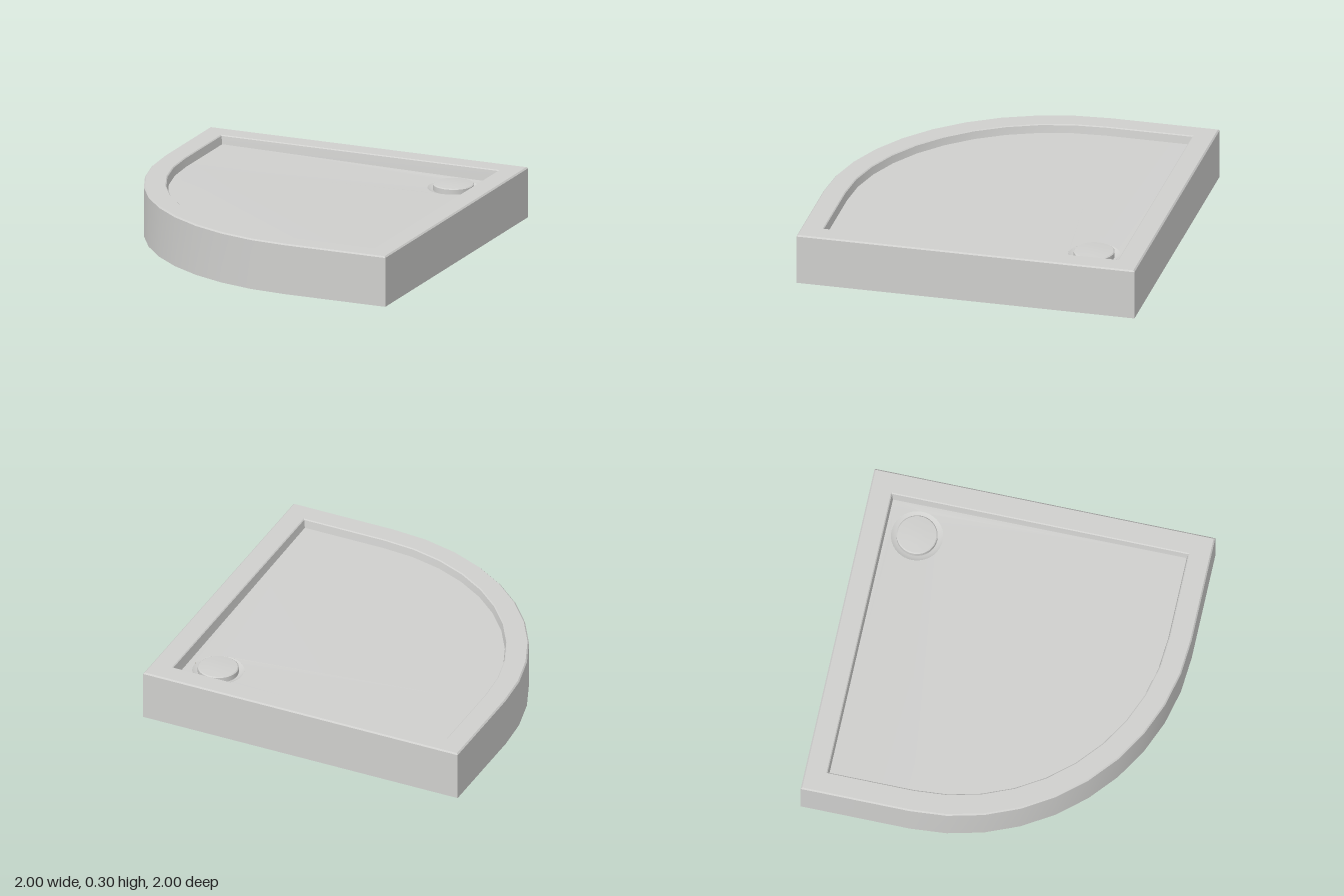
import * as THREE from 'three';
import { toCreasedNormals } from 'three/addons/utils/BufferGeometryUtils.js';

const DRAIN = { x: 0.675, z: -0.68 };
const ARC = 0.36; // centre of the rounded corner is (ARC, -ARC)

// Quadrant outline as [x, z] points, anticlockwise from above, moved inwards by inset
function outline(inset) {
  const e = 1 - inset, r = 1 + ARC - inset, pts = [[e, -e], [-e, -e]];
  for (let i = 0; i <= 10; i++) {
    const a = (i / 10) * Math.PI / 2;
    pts.push([ARC - r * Math.cos(a), -ARC + r * Math.sin(a)]);
  }
  pts.push([e, e]);
  return pts;
}

// Floor falls gently towards the drain
const floorY = (x, z) => 0.222 + 0.017 * Math.hypot(x - DRAIN.x, z - DRAIN.z);

// Skin over a list of [inset, height] rings; height may be a function of x and z
function loft(rings) {
  const pos = [], idx = [];
  let n = 0;
  rings.forEach(([inset, y]) => {
    const pts = outline(inset);
    n = pts.length;
    pts.forEach(([x, z]) => pos.push(x, typeof y === 'function' ? y(x, z) : y, z));
  });
  for (let k = 0; k < rings.length - 1; k++) {
    for (let i = 0; i < n; i++) {
      const j = (i + 1) % n, a = k * n + i, b = k * n + j;
      idx.push(a, b, b + n, a, b + n, a + n);
    }
  }
  const g = new THREE.BufferGeometry();
  g.setAttribute('position', new THREE.Float32BufferAttribute(pos, 3));
  g.setIndex(idx);
  return toCreasedNormals(g, 0.4);
}

const toShape = (pts) => new THREE.Shape(pts.map(([x, z]) => new THREE.Vector2(x, -z)));

export function createModel() {
  const grey = new THREE.MeshStandardMaterial({ color: 0xcfcfcd });
  grey.name = 'light grey';
  const beige = new THREE.MeshStandardMaterial({ color: 0xd0c6a8 });
  beige.name = 'beige';
  const black = new THREE.MeshStandardMaterial({ color: 0x2c2c2c });
  black.name = 'black';

  const group = new THREE.Group();
  group.name = 'showerTray';
  const add = (name, geometry, material) => {
    const mesh = new THREE.Mesh(geometry, material);
    mesh.name = name;
    group.add(mesh);
    return mesh;
  };

  // Skirt, top rim and basin wall in one skin
  add('skirtAndRim', loft([
    [0.03, 0], [0, 0], [0, 0.292], [0.008, 0.3], [0.124, 0.3], [0.13, 0.295], [0.138, floorY],
  ]), grey);

  // Sloping basin floor with a round opening for the drain
  const floorShape = toShape(outline(0.138));
  floorShape.holes.push(new THREE.Path().absarc(DRAIN.x, -DRAIN.z, 0.15, 0, Math.PI * 2, true));
  const floor = new THREE.ShapeGeometry(floorShape, 32).rotateX(-Math.PI / 2);
  const p = floor.attributes.position;
  for (let i = 0; i < p.count; i++) p.setY(i, floorY(p.getX(i), p.getZ(i)));
  floor.computeVertexNormals();
  add('basinFloor', floor, grey);

  // Dish around the drain and its domed cover
  const lathe = (pts) => toCreasedNormals(
    new THREE.LatheGeometry(pts.map(([r, y]) => new THREE.Vector2(r, y)), 40), 0.5);
  const dish = add('drainDish', lathe([[0.15, floorY(DRAIN.x + 0.15, DRAIN.z)], [0.13, 0.214], [0.1, 0.21]]), grey);
  const cover = add('drainCover', lathe([[0.118, 0.205], [0.118, 0.244], [0.112, 0.249], [0.06, 0.253], [0, 0.254]]), grey);
  for (const m of [dish, cover]) m.position.set(DRAIN.x, 0, DRAIN.z);

  // Inside of the skirt and underside of the shell
  const ceilingY = 0.14;
  add('skirtInside', loft([[0.03, ceilingY], [0.03, 0]]), beige);
  const ceiling = add('shellUnderside', new THREE.ShapeGeometry(
    new THREE.Shape(outline(0.03).map(([x, z]) => new THREE.Vector2(x, z)))).rotateX(Math.PI / 2), beige);
  ceiling.position.y = ceilingY;

  // Support block, notched by a circle around the drain
  const inset = 0.12, e = 1 - inset, R = 0.35;
  const dx = Math.sqrt(R * R - (e + DRAIN.z) ** 2), dz = Math.sqrt(R * R - (e - DRAIN.x) ** 2);
  const block = outline(inset).slice(1);
  const a0 = Math.atan2(dz, e - DRAIN.x);
  const a1 = Math.atan2(-e - DRAIN.z, -dx) + Math.PI * 2;
  for (let i = 0; i <= 20; i++) {
    const a = a0 + (a1 - a0) * i / 20;
    block.push([DRAIN.x + R * Math.cos(a), DRAIN.z + R * Math.sin(a)]);
  }
  const blockGeometry = new THREE.ExtrudeGeometry(toShape(block), { depth: ceilingY, bevelEnabled: false })
    .rotateX(-Math.PI / 2);
  add('supportBlock', toCreasedNormals(blockGeometry, 0.4), grey);

  // Waste outlet seen from underneath
  const outlet = add('wasteOutlet', new THREE.CylinderGeometry(0.085, 0.085, 0.008, 32), black);
  outlet.position.set(DRAIN.x, ceilingY, DRAIN.z);

  return group;
}
